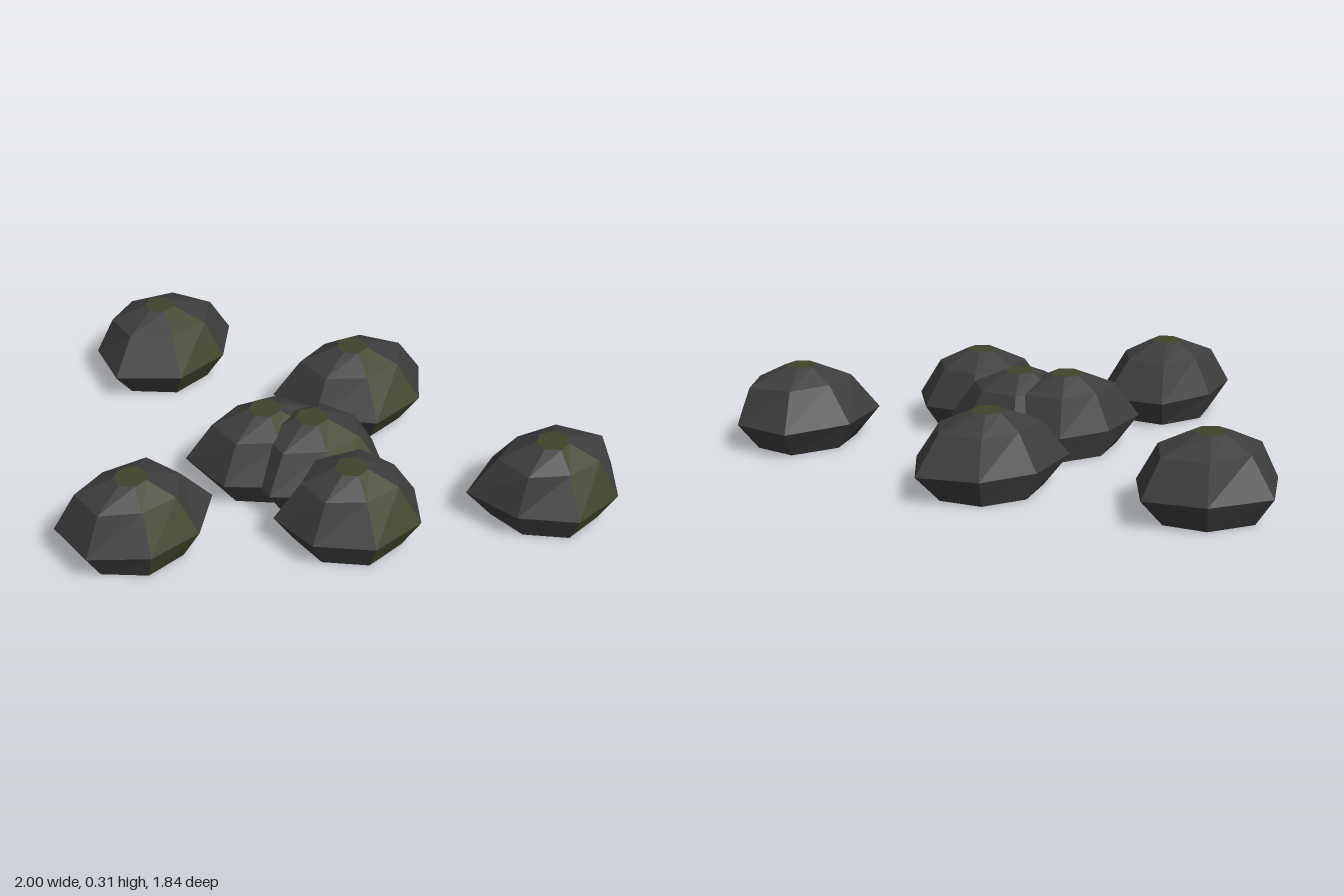
import * as THREE from 'three';

const stone = new THREE.MeshStandardMaterial({ color: 0x3d3d3d });
stone.name = 'darkStone';
const moss = new THREE.MeshStandardMaterial({ color: 0x40442b });
moss.name = 'moss';

// Corner directions shared by all rocks, in degrees from +z towards +x
const ANGLES = [0, 53.5, 98, 147, 206.5, 258, 305].map(THREE.MathUtils.degToRad);
const SIDES = ANGLES.length;

// Per rock: centre on the ground, corner radii at the waist and at the shoulder
const ROCKS = [
  { x: -0.305, z: -0.695, waist: [.257, .26, .305, .24, .262, .257, .29], shoulder: [.165, .185, .222, .185, .165, .19, .19] },
  { x: 0.295, z: -0.145, waist: [.26, .27, .31, .23, .22, .305, .257], shoulder: [.155, .18, .213, .165, .14, .2, .18] },
  { x: -0.16, z: 0.13, waist: [.24, .26, .27, .22, .205, .295, .26], shoulder: [.15, .175, .19, .16, .14, .195, .18] },
  { x: -0.02, z: 0.24, waist: [.24, .28, .26, .245, .22, .25, .27], shoulder: [.15, .18, .18, .165, .145, .175, .185] },
  { x: 0, z: 0.567, waist: [.235, .255, .265, .23, .21, .275, .24], shoulder: [.14, .17, .175, .18, .165, .178, .163] },
  { x: -0.733, z: 0.353, waist: [.22, .245, .31, .265, .215, .275, .255], shoulder: [.14, .165, .19, .19, .145, .195, .18] },
  { x: 0.722, z: 0.68, waist: [.235, .25, .28, .285, .25, .303, .235], shoulder: [.14, .17, .222, .18, .15, .195, .175] },
];

// One cross-section: a corner per direction at height y
const ring = (radii, y) =>
  radii.map((r, i) => new THREE.Vector3(r * Math.sin(ANGLES[i]), y, r * Math.cos(ANGLES[i])));

function rockGeometry({ waist, shoulder }) {
  const rings = [
    ring(waist.map((r) => 0.4 * r + 0.085), 0),
    ring(waist, 0.11),
    ring(shoulder, 0.25),
    ring(waist.map(() => 0.06), 0.305),
  ];
  const faces = { stone: [], moss: [] };

  // Side facets; the first column is mossy
  for (let k = 0; k < rings.length - 1; k++) {
    for (let i = 0; i < SIDES; i++) {
      const j = (i + 1) % SIDES;
      const [a, b, c, d] = [rings[k][i], rings[k][j], rings[k + 1][j], rings[k + 1][i]];
      faces[i === 0 ? 'moss' : 'stone'].push(a, b, c, a, c, d);
    }
  }
  // Mossy cap and stone underside
  const [bottom, top] = [rings[0], rings[rings.length - 1]];
  for (let i = 1; i < SIDES - 1; i++) {
    faces.moss.push(top[0], top[i], top[i + 1]);
    faces.stone.push(bottom[0], bottom[i + 1], bottom[i]);
  }

  const geometry = new THREE.BufferGeometry().setFromPoints([...faces.stone, ...faces.moss]);
  geometry.addGroup(0, faces.stone.length, 0);
  geometry.addGroup(faces.stone.length, faces.moss.length, 1);
  geometry.computeVertexNormals(); // unshared corners give flat facets
  return geometry;
}

export function createModel() {
  const group = new THREE.Group();
  group.name = 'mossyRocks';
  ROCKS.forEach((rock, i) => {
    const mesh = new THREE.Mesh(rockGeometry(rock), [stone, moss]);
    mesh.name = `rock${i + 1}`;
    mesh.position.set(rock.x, 0, rock.z);
    group.add(mesh);
  });
  return group;
}
